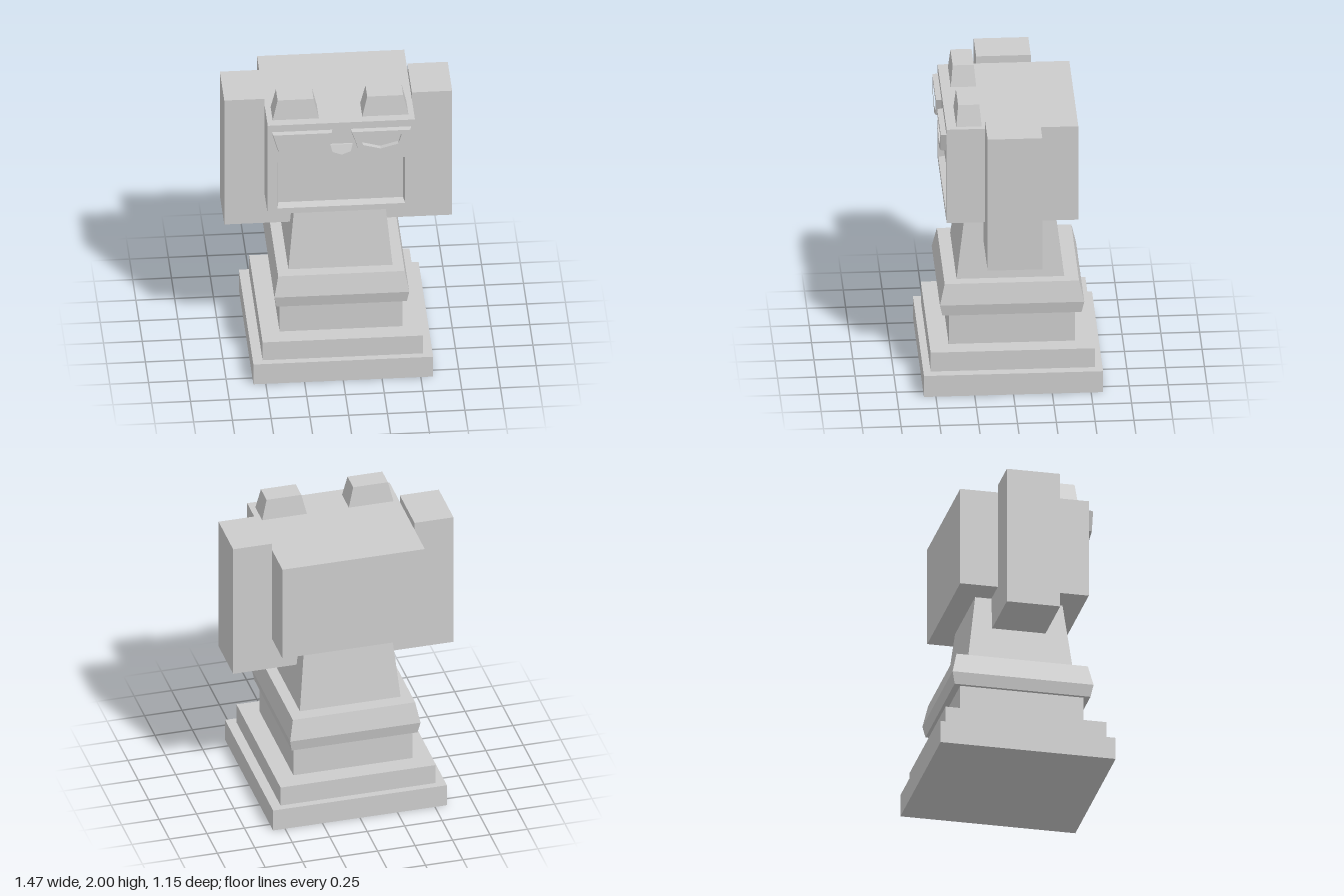
import * as THREE from 'three';

const material = new THREE.MeshStandardMaterial({ color: 0xcccccc, flatShading: true });

function add(parent, name, geometry, x = 0, y = 0, z = 0) {
  const mesh = new THREE.Mesh(geometry, material);
  mesh.name = name;
  mesh.position.set(x, y, z);
  parent.add(mesh);
  return mesh;
}

// Four-sided block whose bottom and top rectangles are given as half sizes [x, z]
function block(y0, y1, bottom, top = bottom) {
  const g = new THREE.BoxGeometry(2, 1, 2);
  const p = g.attributes.position;
  for (let i = 0; i < p.count; i++) {
    const up = p.getY(i) > 0;
    const [hx, hz] = up ? top : bottom;
    p.setXYZ(i, p.getX(i) * hx, up ? y1 : y0, p.getZ(i) * hz);
  }
  g.computeVertexNormals();
  return g;
}

const points = (list) => list.map(([x, y]) => new THREE.Vector2(x, y));

function plate(outline, depth, hole) {
  const shape = new THREE.Shape(points(outline));
  if (hole) shape.holes.push(new THREE.Path(points(hole)));
  return new THREE.ExtrudeGeometry(shape, { depth, bevelEnabled: false });
}

// Move each vertex by a rule that edits a Vector3
function bend(g, rule) {
  const p = g.attributes.position;
  const v = new THREE.Vector3();
  for (let i = 0; i < p.count; i++) {
    v.fromBufferAttribute(p, i);
    rule(v);
    p.setXYZ(i, v.x, v.y, v.z);
  }
  g.computeVertexNormals();
  return g;
}

const rect = (x, y0, y1) => [[-x, y0], [x, y0], [x, y1], [-x, y1]];

// Pentagonal drop used for the nose and the teeth
const drop = (w, h) => [[-w, 0], [-w * 0.82, -h * 0.7], [0, -h], [w * 0.82, -h * 0.7], [w, 0]];

export function createModel() {
  const model = new THREE.Group();
  model.name = 'guardianStatue';

  // Stepped pedestal, collar and neck
  add(model, 'baseSlab', block(0, 0.15, [0.58, 0.577]));
  add(model, 'baseStep', block(0.15, 0.285, [0.517, 0.53]));
  add(model, 'plinth', block(0.285, 0.5, [0.397, 0.406]));
  add(model, 'collarLower', block(0.5, 0.58, [0.42, 0.448], [0.435, 0.465]));
  add(model, 'collarUpper', block(0.58, 0.72, [0.435, 0.465], [0.408, 0.433]));
  add(model, 'neck', block(0.72, 1.19, [0.336, 0.347], [0.29, 0.288]), 0, 0, 0.005);

  // Side blocks joined by a bar that runs below the head
  add(model, 'arms', plate([
    [-0.735, 0.97], [0.735, 0.97], [0.735, 1.91], [0.475, 1.91],
    [0.475, 1.25], [-0.475, 1.25], [-0.475, 1.91], [-0.735, 1.91],
  ], 0.352), 0, 0, -0.176);

  // Head with a recessed mouth whose walls narrow inwards
  const head = new THREE.Group();
  head.name = 'head';
  model.add(head);
  const depth = 0.06;
  const front = 0.424;
  add(head, 'skull', new THREE.BoxGeometry(0.95, 0.67, 2 * front - depth), 0, 1.525, -depth / 2);
  const face = plate(rect(0.475, 1.19, 1.86), depth, rect(0.412, 1.23, 1.58));
  bend(face, (v) => {
    if (Math.abs(v.x) < 0.45 && v.z < depth / 2) {
      v.x *= 0.978;
      v.y += v.y > 1.4 ? -0.009 : 0.009;
    }
  });
  add(head, 'face', face, 0, 0, front - depth);

  // Eye outlines for the +x side
  const rim = [[0.45, 1.81], [0.058, 1.81], [0.1, 1.68], [0.252, 1.625], [0.413, 1.68]];
  const lens = [[0.392, 1.778], [0.111, 1.778], [0.132, 1.705], [0.25, 1.672], [0.37, 1.705]];

  for (const s of [-1, 1]) {
    const side = s > 0 ? 'left' : 'right';
    const flip = (list) => list.map(([x, y]) => [x * s, y]);

    // Raised eye rim, slightly smaller at its front edge
    const eye = bend(plate(flip(rim), 0.037, flip(lens)), (v) => {
      if (v.z > 0.01) {
        v.x = s * 0.252 + (v.x - s * 0.252) * 0.96;
        v.y = 1.72 + (v.y - 1.72) * 0.96;
      }
    });
    add(head, side + 'EyeRim', eye, 0, 0, front - 0.001);

    // Tapered ear and hanging tooth
    add(head, side + 'Ear', block(1.86, 2, [0.149, 0.082], [0.116, 0.068]), s * 0.289, 0, 0.278);
    add(head, side + 'Tooth', plate(drop(0.062, 0.066), depth * 0.8), s * 0.2, 1.576, front - depth);
  }

  // Nose, thicker towards its lower tip
  const nose = bend(plate(drop(0.072, 0.066), 0.03), (v) => {
    if (v.z > 0.01) v.z = 0.012 - v.y * 0.3;
  });
  add(head, 'nose', nose, 0, 1.703, front);

  return model;
}
